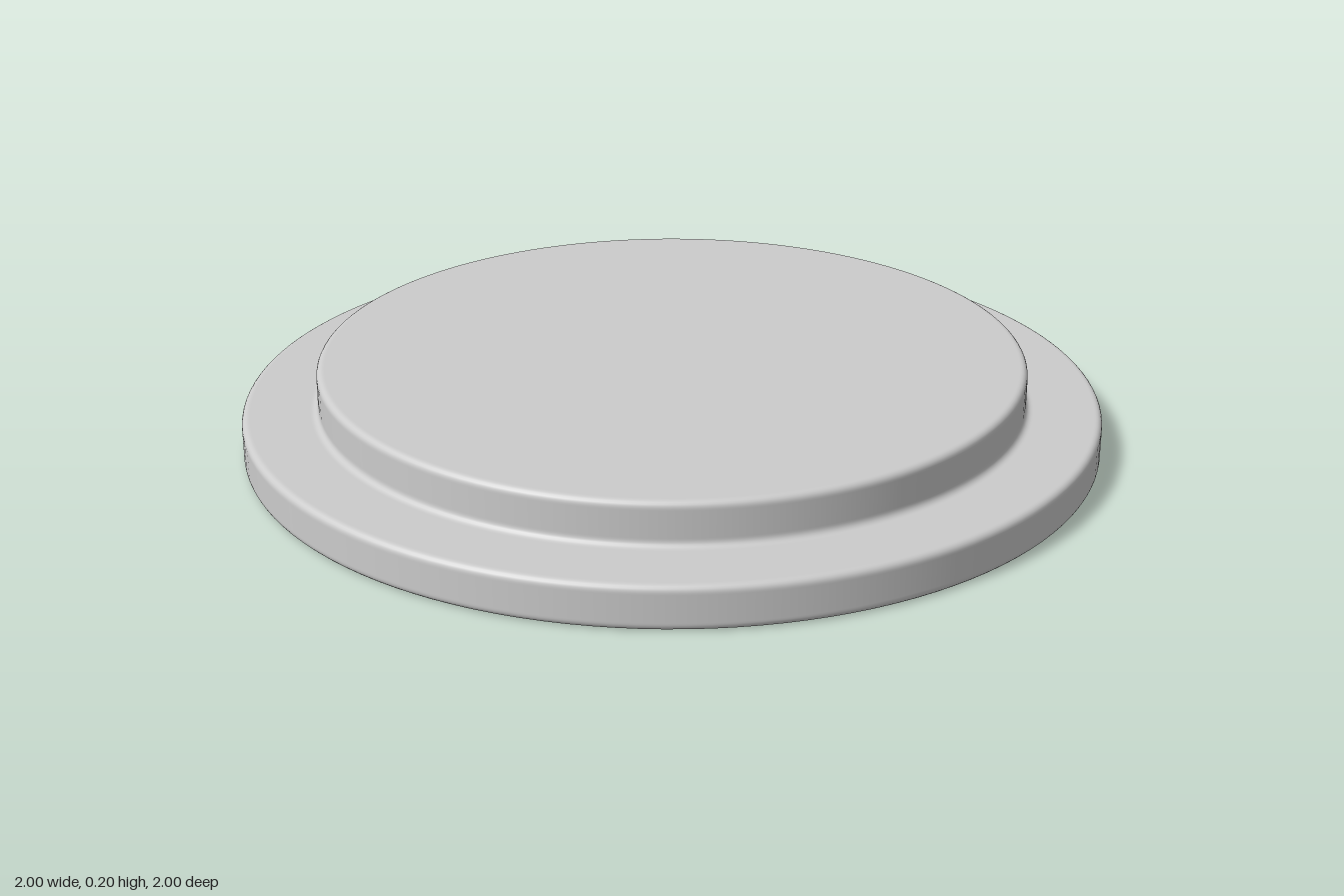
import * as THREE from 'three';

const material = new THREE.MeshStandardMaterial({ color: 0xcccccc, side: THREE.DoubleSide });

// Polyline of [radius, height] corners with every inner corner rounded
function roundedProfile(corners, r, steps = 5) {
  const pts = corners.map(([x, y]) => new THREE.Vector2(x, y));
  const out = [pts[0]];
  for (let i = 1; i < pts.length - 1; i++) {
    const p = pts[i];
    const toPrev = pts[i - 1].clone().sub(p).normalize();
    const toNext = pts[i + 1].clone().sub(p).normalize();
    const a = p.clone().addScaledVector(toPrev, r);
    const b = p.clone().addScaledVector(toNext, r);
    const centre = a.clone().addScaledVector(toNext, r);
    // short lead-in and lead-out keep the flats evenly shaded
    out.push(a.clone().addScaledVector(toPrev, 0.004));
    for (let k = 0; k <= steps; k++) {
      const t = (k / steps) * Math.PI / 2;
      out.push(centre.clone()
        .addScaledVector(toNext, -r * Math.cos(t))
        .addScaledVector(toPrev, -r * Math.sin(t)));
    }
    out.push(b.clone().addScaledVector(toNext, 0.004));
  }
  out.push(pts[pts.length - 1]);
  return out;
}

export function createModel() {
  const group = new THREE.Group();
  group.name = 'steppedDisc';

  // Thin shell: underside ring, rim, step, raised wall and top
  const profile = roundedProfile([
    [0.78, 0], [1, 0], [1, 0.1], [0.825, 0.1], [0.825, 0.2], [0, 0.2],
  ], 0.015);
  const shell = new THREE.Mesh(new THREE.LatheGeometry(profile, 128), material);
  shell.name = 'discShell';
  group.add(shell);

  return group;
}
